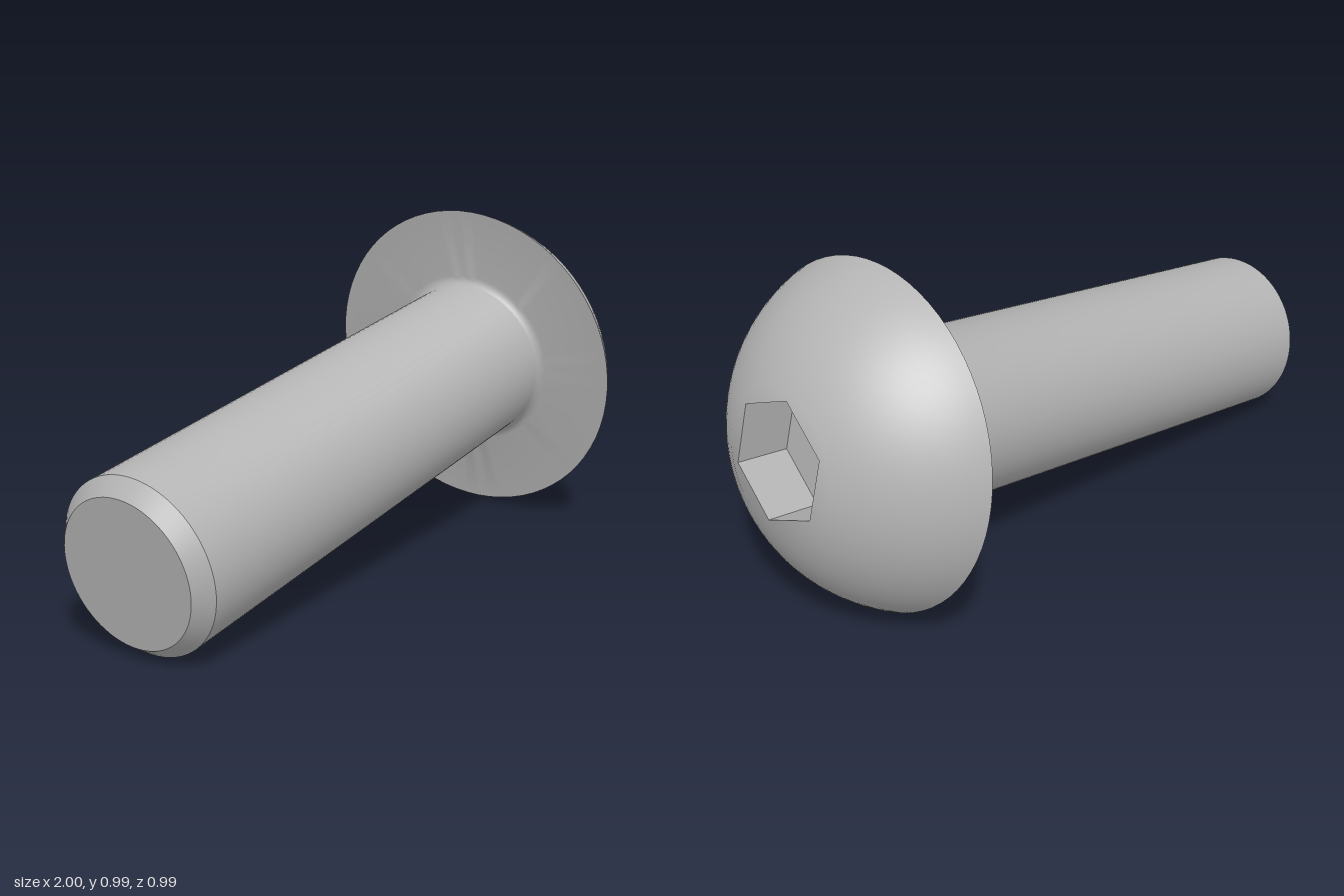
import * as THREE from 'three';
import { toCreasedNormals } from 'three/addons/utils/BufferGeometryUtils.js';

const SHAFT_R = 0.251, HEAD_R = 0.495, HEAD_H = 0.291, TOP_R = 0.2;
const HEX_R = 0.18, HEX_DEPTH = 0.16, HEX_ANGLE = THREE.MathUtils.degToRad(7.5);
const SEGMENTS = 72;

export function createModel() {
  const steel = new THREE.MeshStandardMaterial({ color: 0xb4b4b4 });
  steel.name = 'steel grey';
  const model = new THREE.Group();
  model.name = 'buttonHeadBolt';
  const bolt = new THREE.Group();
  bolt.name = 'bolt';
  model.add(bolt);
  const add = (name, geometry) => {
    const mesh = new THREE.Mesh(geometry, steel);
    mesh.name = name;
    bolt.add(mesh);
  };
  const v = (x, y) => new THREE.Vector2(x, y);

  // Shaft with chamfered tip, small fillet and flat head underside (axis is local y)
  const profile = [v(0, -1.668), v(0.21, -1.668), v(SHAFT_R, -1.622)];
  const fillet = 0.03;
  for (let i = 0; i <= 5; i++) {
    const a = (i / 5) * Math.PI / 2;
    profile.push(v(SHAFT_R + fillet * (1 - Math.cos(a)), -fillet * (1 - Math.sin(a))));
  }
  profile.push(v(HEAD_R, 0));
  add('shaftAndUnderside', toCreasedNormals(new THREE.LatheGeometry(profile, SEGMENTS), 0.55));

  // Domed head: spherical arc from rim to flat top
  const centreY = (HEAD_H ** 2 + TOP_R ** 2 - HEAD_R ** 2) / (2 * HEAD_H);
  const radius = Math.hypot(HEAD_R, centreY);
  const a0 = Math.atan2(-centreY, HEAD_R), a1 = Math.atan2(HEAD_H - centreY, TOP_R);
  const dome = [];
  for (let i = 0; i <= 16; i++) {
    const a = a0 + (a1 - a0) * i / 16;
    dome.push(v(radius * Math.cos(a), centreY + radius * Math.sin(a)));
  }
  add('headDome', new THREE.LatheGeometry(dome, SEGMENTS));

  // Flat top around the socket, shaded to run on from the dome
  const top = new THREE.Shape();
  top.absarc(0, 0, TOP_R, 0, Math.PI * 2);
  const hex = [];
  for (let i = 0; i < 6; i++) {
    const a = -HEX_ANGLE - i * Math.PI / 3;
    hex.push(v(HEX_R * Math.cos(a), HEX_R * Math.sin(a)));
  }
  top.holes.push(new THREE.Path(hex));
  const topGeo = new THREE.ShapeGeometry(top, SEGMENTS / 2);
  topGeo.rotateX(-Math.PI / 2).translate(0, HEAD_H, 0);
  const pos = topGeo.attributes.position, n = new THREE.Vector3();
  for (let i = 0; i < pos.count; i++) {
    n.fromBufferAttribute(pos, i);
    n.y -= centreY;
    n.normalize();
    topGeo.attributes.normal.setXYZ(i, n.x, n.y, n.z);
  }
  add('headTop', topGeo);

  // Hex socket: inward-facing walls (mirrored to turn them inside out) and floor
  const walls = new THREE.CylinderGeometry(HEX_R, HEX_R, HEX_DEPTH, 6, 1, true, HEX_ANGLE - Math.PI / 2)
    .scale(-1, 1, 1).translate(0, HEAD_H - HEX_DEPTH / 2, 0).toNonIndexed();
  walls.computeVertexNormals();
  add('socketWalls', walls);
  add('socketFloor', new THREE.CircleGeometry(HEX_R, 6, -HEX_ANGLE)
    .rotateX(-Math.PI / 2).translate(0, HEAD_H - HEX_DEPTH, 0));

  // Tilt the bolt: local y follows the bolt axis, local x points upward
  const axis = new THREE.Vector3(0.984, 0.156, -0.0895).normalize();
  const up = new THREE.Vector3(0, 1, 0).addScaledVector(axis, -axis.y).normalize();
  const side = new THREE.Vector3().crossVectors(up, axis);
  bolt.quaternion.setFromRotationMatrix(new THREE.Matrix4().makeBasis(up, axis, side));
  bolt.position.set(0.678, 0.505, 0.002);
  return model;
}
